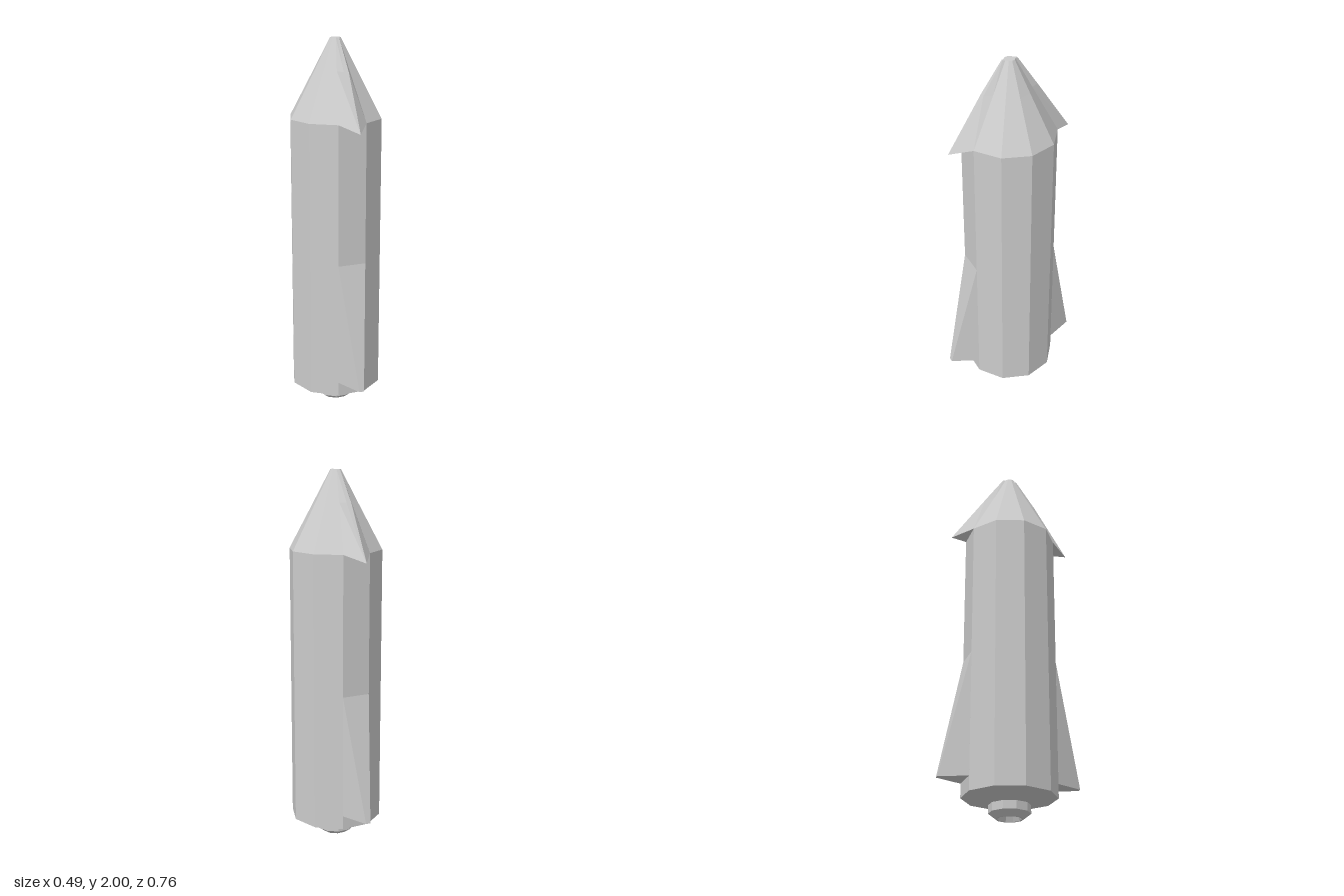
import * as THREE from 'three';
import { ConvexGeometry } from 'three/addons/geometries/ConvexGeometry.js';

const SIDES = 10;
const RADIUS = 0.247;
const SHOULDER_Y = 1.59;

// Ten-sided nose with a thin swept ridge on its front and back.
function noseGeometry() {
  const sections = [
    { r: RADIUS, y: SHOULDER_Y, ridge: [0, 1.555, 0.34] },
    { r: 0.113, y: 1.84, ridge: [0.013, 1.84, 0.148] },
    { r: 0.028, y: 2, ridge: [0.004, 2, 0.041] },
  ];
  const positions = [];
  for (const { r, y, ridge: [w, ry, rz] } of sections) {
    for (let k = 0; k < SIDES; k++) {
      const a = Math.PI / 2 + (k * 2 * Math.PI) / SIDES;
      positions.push(r * Math.sin(a), y, r * Math.cos(a));
      if (k === 2) positions.push(w, ry, -rz, -w, ry, -rz);
      if (k === 7) positions.push(-w, ry, rz, w, ry, rz);
    }
  }
  const n = SIDES + 4;
  const top = 2 * n;
  const center = 3 * n;
  positions.push(0, 2, 0);

  // Undersides of the two ridge tips, then the skin and the top cap
  const index = [2, 5, 3, 9, 12, 10];
  for (let i = 0; i < n; i++) {
    const j = (i + 1) % n;
    for (let s = 0; s < top; s += n) {
      index.push(s + i, s + j, s + n + i, s + j, s + n + j, s + n + i);
    }
    index.push(center, top + i, top + j);
  }
  const geometry = new THREE.BufferGeometry();
  geometry.setAttribute('position', new THREE.Float32BufferAttribute(positions, 3));
  geometry.setIndex(index);
  geometry.computeVertexNormals();
  return geometry;
}

// Tapered wedge growing out of the front flat of the body.
function finGeometry() {
  const corners = [];
  for (const s of [-1, 1]) {
    corners.push(
      new THREE.Vector3(s * 0.0763, 0.845, 0.235),
      new THREE.Vector3(s * 0.0763, 0.18, 0.235),
      new THREE.Vector3(s * 0.013, 0.18, 0.38),
    );
  }
  return new ConvexGeometry(corners);
}

export function createModel() {
  const group = new THREE.Group();
  const material = new THREE.MeshStandardMaterial({ color: 0xcccccc, flatShading: true });
  const add = (name, geometry) => {
    const mesh = new THREE.Mesh(geometry, material);
    mesh.name = name;
    group.add(mesh);
    return mesh;
  };
  const lathe = (points) => new THREE.LatheGeometry(
    points.map(([r, y]) => new THREE.Vector2(r, y)), SIDES, Math.PI / 2);

  // Hollow nozzle under the tail
  add('nozzle', lathe([[0, 0.045], [0.045, 0.045], [0.062, 0], [0.072, 0], [0.108, 0.027], [0.108, 0.07]]));
  // Tapered tail and straight body
  add('body', lathe([[0.108, 0.07], [RADIUS, 0.105], [RADIUS, SHOULDER_Y]]));
  add('nose', noseGeometry());

  // Matching fins front and back
  add('frontFin', finGeometry());
  add('backFin', finGeometry()).rotation.y = Math.PI;

  return group;
}
